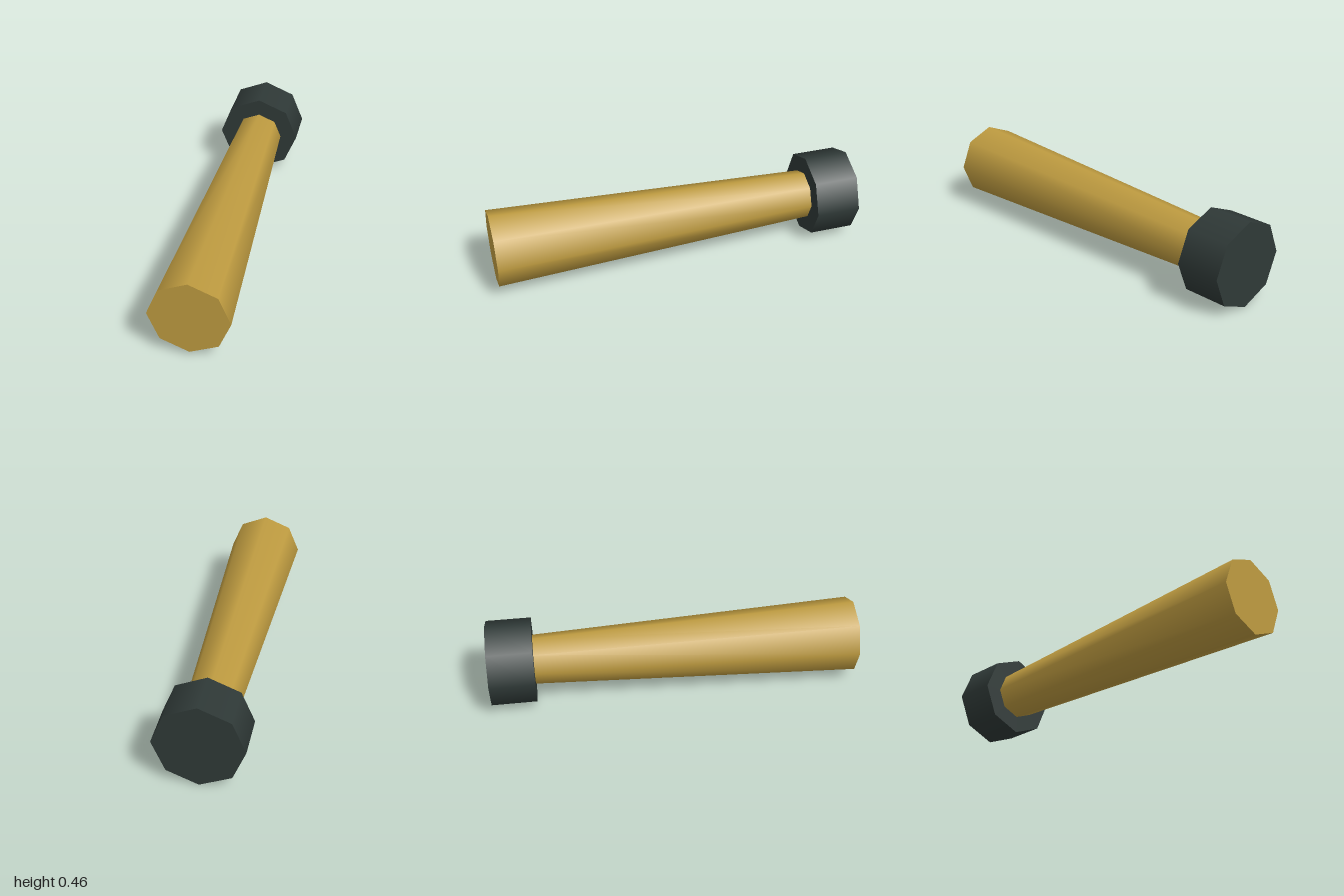
import * as THREE from 'three';

const SIDES = 8;
const AXIS_Y = 0.23;

// Octagonal tapered bar lying along z, from the back z to the front z
function bar(name, frontRadius, backRadius, frontZ, backZ, material) {
  const geometry = new THREE.CylinderGeometry(frontRadius, backRadius, frontZ - backZ, SIDES);
  geometry.rotateX(Math.PI / 2);
  const mesh = new THREE.Mesh(geometry, material);
  mesh.name = name;
  mesh.position.set(0, AXIS_Y, (frontZ + backZ) / 2);
  return mesh;
}

export function createModel() {
  const brass = new THREE.MeshStandardMaterial({ color: 0xbe9b40 });
  brass.name = 'brass';
  const darkMetal = new THREE.MeshStandardMaterial({ color: 0x2f3937 });
  darkMetal.name = 'dark metal';

  const model = new THREE.Group();
  model.name = 'taperedHandle';
  // Long shaft, widening toward the front
  model.add(bar('shaft', 0.206, 0.134, 1, -0.76, brass));
  // Wide collar closing the back end
  model.add(bar('endCap', 0.23, 0.23, -0.757, -1, darkMetal));
  return model;
}
